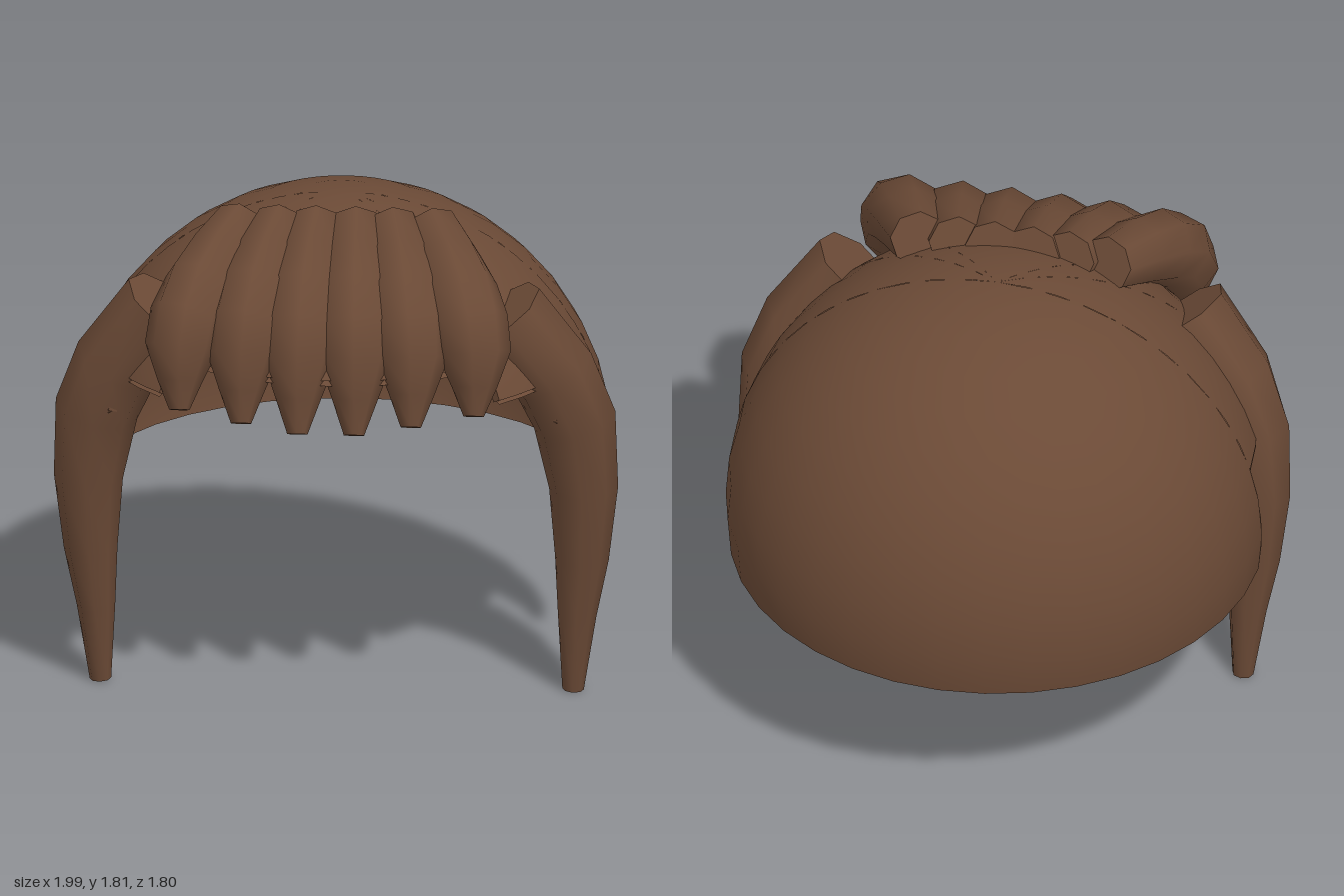
import * as THREE from 'three';

const hair = new THREE.MeshStandardMaterial({ color: 0x6b4a36, side: THREE.DoubleSide });
hair.name = 'brown hair';

const R = 0.957, THICK = 0.035, CENTRE = [0, 0.8, 0.05], SIDES = 8;
const rad = THREE.MathUtils.degToRad;

// Tapered lock swept along points [x, y, z, radius], closed with flat ends
function lock(name, pts, ref) {
  const curve = new THREE.CatmullRomCurve3(pts.map(p => new THREE.Vector3(p[0], p[1], p[2])));
  const body = [], index = [], rings = [];
  pts.forEach((p, i) => {
    const t = curve.getTangent(i / (pts.length - 1));
    const u = ref.clone().addScaledVector(t, -ref.dot(t)).normalize();
    const v = t.clone().cross(u);
    const ring = [];
    for (let j = 0; j < SIDES; j++) {
      const a = j / SIDES * Math.PI * 2;
      ring.push(new THREE.Vector3(p[0], p[1], p[2])
        .addScaledVector(u, Math.cos(a) * p[3]).addScaledVector(v, Math.sin(a) * p[3]));
    }
    rings.push(ring);
    ring.forEach(q => body.push(q.x, q.y, q.z));
  });
  for (let i = 0; i < pts.length - 1; i++) {
    for (let j = 0; j < SIDES; j++) {
      const k = (j + 1) % SIDES, a = i * SIDES + j, b = i * SIDES + k;
      index.push(a, b, a + SIDES, b, b + SIDES, a + SIDES);
    }
  }
  // end caps use their own vertices so their edges stay sharp
  [rings[0].slice().reverse(), rings[rings.length - 1]].forEach(ring => {
    const s = body.length / 3;
    ring.forEach(q => body.push(q.x, q.y, q.z));
    for (let j = 1; j < SIDES - 1; j++) index.push(s, s + j, s + j + 1);
  });
  const geo = new THREE.BufferGeometry();
  geo.setAttribute('position', new THREE.Float32BufferAttribute(body, 3));
  geo.setIndex(index);
  geo.computeVertexNormals();
  const mesh = new THREE.Mesh(geo, hair);
  mesh.name = name;
  return mesh;
}

// Hollow cap: sectors of a thick sphere, each cut off at its own height
function createCap() {
  const cap = new THREE.Group();
  cap.name = 'hairCap';
  cap.position.set(...CENTRE);
  const add = (name, geo) => {
    const mesh = new THREE.Mesh(geo, hair);
    mesh.name = name;
    cap.add(mesh);
  };
  const polar = y => Math.acos((y - CENTRE[1]) / R);
  const r = R - THICK;
  // [start angle, end angle, lower edge height]; 0 to 180 degrees is the front
  const sectors = [
    [0, 30, 1.08], [30, 46, 1.21], [46, 134, 1.33],
    [134, 150, 1.21], [150, 180, 1.08], [180, 360, 0.65],
  ];
  sectors.forEach(([a, b, y], i) => {
    const start = rad(a), span = rad(b - a), th = polar(y);
    const seg = Math.max(2, Math.round((b - a) / 10));
    add('outerShell', new THREE.SphereGeometry(R, seg, 11, start, span, 0, th));
    add('innerShell', new THREE.SphereGeometry(r, seg, 11, start, span, 0, th));
    // lower rim joining the two shells
    const rim = new THREE.CylinderGeometry(r * Math.sin(th), R * Math.sin(th),
      THICK * Math.abs(Math.cos(th)), seg, 1, true, start - Math.PI / 2, span);
    rim.translate(0, (R + r) / 2 * Math.cos(th), 0);
    add('lowerRim', rim);
    // upright edge where the height steps to the next sector
    const next = polar(sectors[(i + 1) % sectors.length][2]);
    const edge = new THREE.RingGeometry(r, R, 4, 1,
      Math.PI / 2 - Math.max(th, next), Math.abs(th - next));
    edge.rotateY(Math.PI + rad(b));
    add('stepEdge', edge);
  });
  return cap;
}

export function createModel() {
  const group = new THREE.Group();
  group.name = 'wig';
  group.add(createCap());

  // Fringe: side profile [y, z, radius], with the sideways spread of each lock
  const profile = [
    [1.71, 0.30, 0.10], [1.645, 0.48, 0.125], [1.575, 0.62, 0.137], [1.49, 0.72, 0.138],
    [1.38, 0.77, 0.13], [1.25, 0.815, 0.08], [1.135, 0.862, 0.036],
  ];
  const fringe = [
    { root: 0.07, tip: 0.10, rise: 0, back: 0 },
    { root: 0.20, tip: 0.30, rise: 0.03, back: 0.015 },
    { root: 0.34, tip: 0.52, rise: 0.065, back: 0.045 },
  ];
  // Side lock path on the model's left
  const side = [
    [0.60, 1.455, 0.43, 0.155], [0.77, 1.22, 0.39, 0.155], [0.845, 1.03, 0.35, 0.148],
    [0.875, 0.77, 0.33, 0.122], [0.868, 0.5, 0.315, 0.095], [0.85, 0.28, 0.30, 0.068],
    [0.835, 0, 0.29, 0.038],
  ];
  const X = new THREE.Vector3(1, 0, 0), Z = new THREE.Vector3(0, 0, 1);
  for (const s of [1, -1]) {
    const label = s > 0 ? 'left' : 'right';
    fringe.forEach((f, i) => {
      const pts = profile.map(([y, z, r], k) => {
        const t = k / (profile.length - 1);
        const x = THREE.MathUtils.lerp(f.root, f.tip, Math.sin(Math.min(1, t * 1.35) * Math.PI / 2));
        return [s * x, y + f.rise * t * t, z - f.back * t, r];
      });
      group.add(lock(`${label}FringeLock${i + 1}`, pts, X));
    });
    group.add(lock(`${label}SideLock`, side.map(([x, y, z, r]) => [s * x, y, z, r]), Z));
  }
  return group;
}
